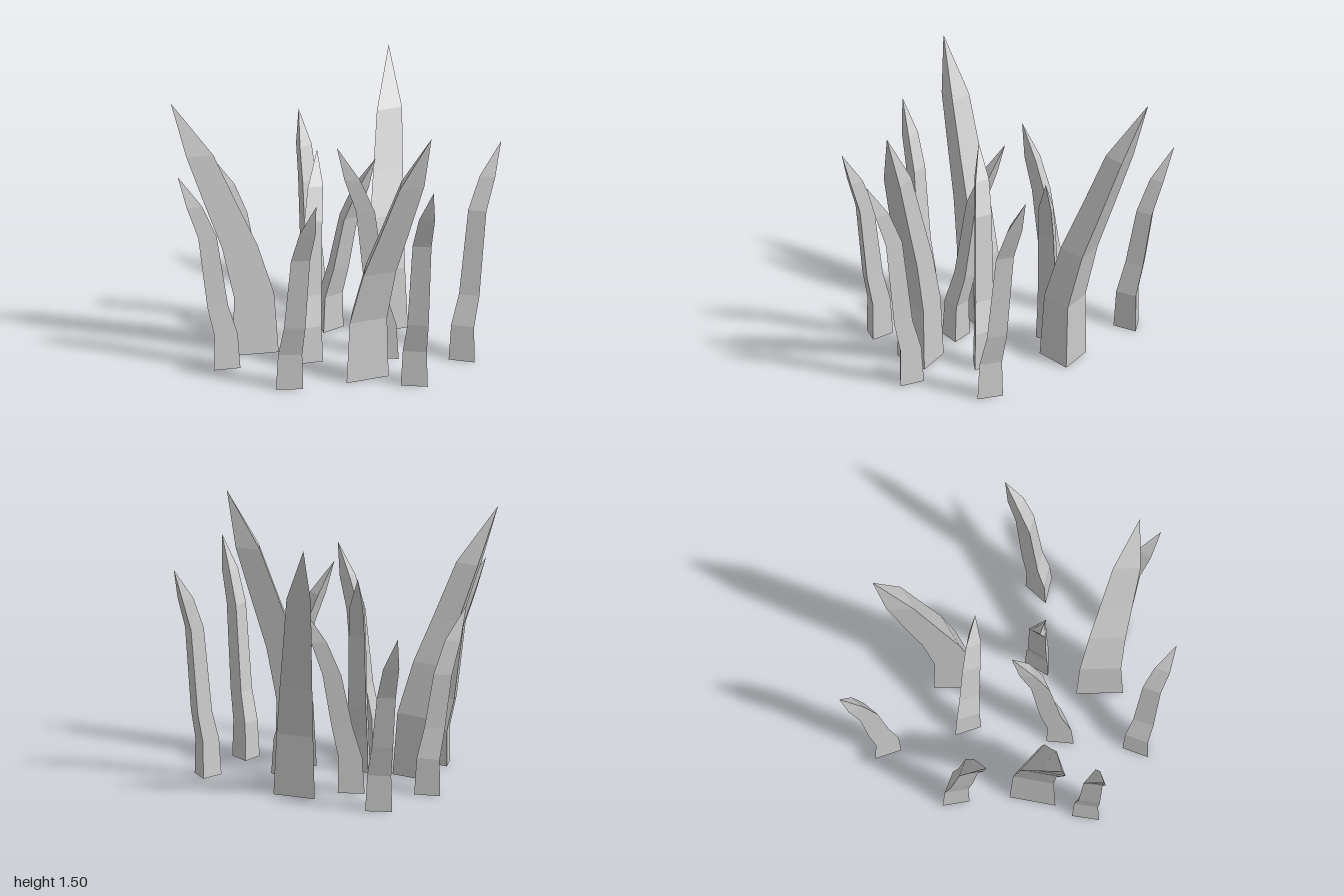
import * as THREE from 'three';

// Leaning spike, stacked triangular rings: [height, lean, radius]
const RINGS = [
  [0, 0, 0.15],
  [0.35, 0.01, 0.133],
  [0.64, 0.09, 0.118],
  [0.88, 0.19, 0.105],
  [1.19, 0.315, 0.089],
  [1.5, 0.47, 0],
];
const SIDES = 3;

// scale sizes the whole blade, stretch lengthens its middle section
function bladeGeometry(scale, stretch) {
  const rings = RINGS.map(([h, lean, r], i) => {
    const y = h * scale + (i > 2 ? stretch : 0);
    return Array.from({ length: SIDES }, (_, j) => {
      const a = Math.PI / 2 + (j * 2 * Math.PI) / SIDES;
      return [(lean + r * Math.cos(a)) * scale, y, r * Math.sin(a) * scale];
    });
  });
  const pos = [];
  const tri = (a, b, c) => pos.push(...a, ...b, ...c);
  for (let i = 0; i < rings.length - 1; i++) {
    const low = rings[i], high = rings[i + 1];
    for (let j = 0; j < SIDES; j++) {
      const k = (j + 1) % SIDES;
      tri(low[j], high[j], low[k]);
      if (i < rings.length - 2) tri(low[k], high[j], high[k]);
    }
  }
  tri(...rings[0]); // base cap
  const geo = new THREE.BufferGeometry();
  geo.setAttribute('position', new THREE.Float32BufferAttribute(pos, 3));
  geo.computeVertexNormals();
  return geo;
}

// Blade sizes: one large, three slim ones of different height
const SIZES = {
  large: [1, 0],
  tall: [0.585, 0.345],
  medium: [0.585, 0.275],
  short: [0.585, 0.155],
};

// Placement: [size, base x, base z, tip x, tip z]
const BLADES = [
  ['large', -0.43, -0.02, -0.9, -0.02],
  ['large', 0.06, 0.527, 0.37, 0.87],
  ['large', 0.35, -0.21, 0.5, -0.65],
  ['tall', 0.266, 0.252, 0.01, 0.16],
  ['tall', 0.678, 0.397, 0.92, 0.27],
  ['tall', 0.32, 0.722, 0.36, 1.0],
  ['medium', -0.645, 0.21, -0.92, 0.22],
  ['medium', -0.175, 0.22, -0.06, -0.03],
  ['medium', -0.375, 0.606, -0.28, 0.87],
  ['short', 0.073, -0.725, 0.07, -1.0],
  ['short', -0.325, -0.457, -0.58, -0.36],
  ['short', 0.059, -0.26, 0.3, -0.12],
];

export function createModel() {
  const group = new THREE.Group();
  group.name = 'grassTuft';
  const material = new THREE.MeshStandardMaterial({ color: 0xcccccc, flatShading: true });
  const geometries = {};
  for (const size in SIZES) geometries[size] = bladeGeometry(...SIZES[size]);

  BLADES.forEach(([size, x, z, tipX, tipZ], i) => {
    const blade = new THREE.Mesh(geometries[size], material);
    blade.name = `${size}Blade${i + 1}`;
    blade.position.set(x, 0, z);
    blade.rotation.y = -Math.atan2(tipZ - z, tipX - x);
    group.add(blade);
  });
  return group;
}
